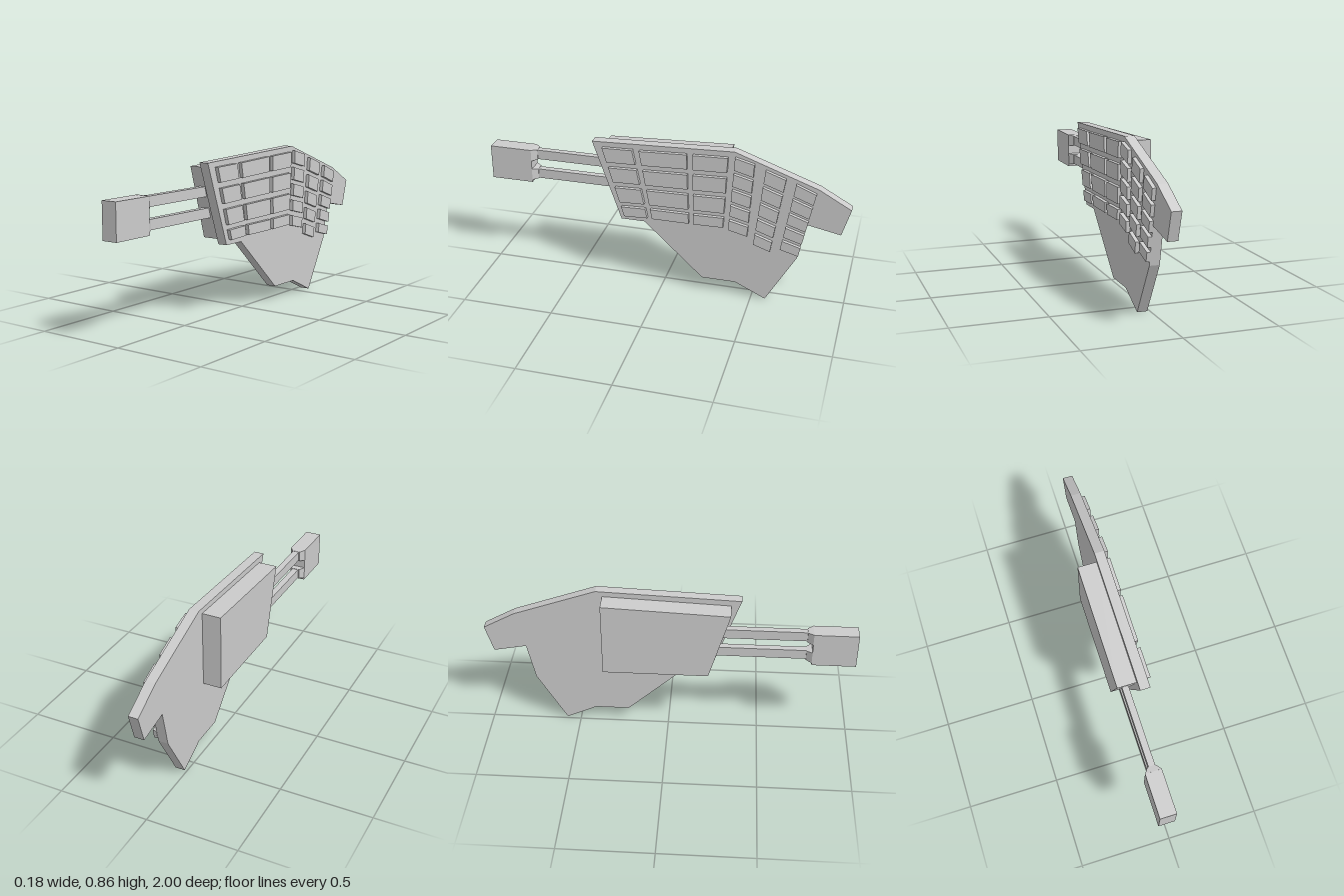
import * as THREE from 'three';

const material = new THREE.MeshStandardMaterial({ color: 0xcccccc, flatShading: true });

function addMesh(parent, name, geometry) {
  const mesh = new THREE.Mesh(geometry, material);
  mesh.name = name;
  parent.add(mesh);
  return mesh;
}

// Extrude a side profile of [z, y] points from x0 to x1
function slab(points, x0, x1) {
  const shape = new THREE.Shape(points.map(([z, y]) => new THREE.Vector2(-z, y)));
  const geometry = new THREE.ExtrudeGeometry(shape, { depth: x1 - x0, bevelEnabled: false });
  return geometry.rotateY(Math.PI / 2).translate(x0, 0, 0);
}

function block(x0, x1, y0, y1, z0, z1) {
  return new THREE.BoxGeometry(x1 - x0, y1 - y0, z1 - z0)
    .translate((x0 + x1) / 2, (y0 + y1) / 2, (z0 + z1) / 2);
}

// Block whose back end shrinks to the size of the arm
function taper(width, height, depth, backWidth, backHeight) {
  const geometry = new THREE.BoxGeometry(width, height, depth);
  const p = geometry.attributes.position;
  for (let i = 0; i < p.count; i++) {
    if (p.getZ(i) < 0) {
      p.setX(i, Math.sign(p.getX(i)) * backWidth / 2);
      p.setY(i, Math.sign(p.getY(i)) * backHeight / 2);
    }
  }
  geometry.computeVertexNormals();
  return geometry;
}

export function createModel() {
  const model = new THREE.Group();
  model.name = 'panelledPlate';

  // Main angular plate
  addMesh(model, 'mainPlate', slab([
    [0.385, 0.83], [0.23, 0.385], [0.10, 0.385], [-0.225, 0.08], [-0.41, 0.08], [-0.578, 0],
    [-0.738, 0.283], [-0.78, 0.49], [-0.957, 0.455], [-1, 0.605], [-0.83, 0.70], [-0.385, 0.86],
  ], 0.013, 0.067));

  // Thick housing on the inner side
  addMesh(model, 'backHousing', slab([
    [0.33, 0.80], [0.22, 0.41], [-0.35, 0.41], [-0.35, 0.83],
  ], -0.09, 0.013));

  // Raised tiles: each column is a quad (top front, top back, bottom front, bottom back)
  const longRows = [[0, 0.205], [0.285, 0.495], [0.575, 0.79], [0.86, 1]];
  const shortRows = [[0, 0.165], [0.22, 0.385], [0.44, 0.595], [0.655, 0.80], [0.865, 1]];
  const columns = [
    { rows: longRows, quad: [[0.326, 0.805], [0.16, 0.81], [0.209, 0.412], [0.08, 0.417]] },
    { rows: longRows, quad: [[0.123, 0.81], [-0.134, 0.822], [0.053, 0.417], [-0.15, 0.417]] },
    { rows: longRows, quad: [[-0.166, 0.822], [-0.353, 0.829], [-0.176, 0.417], [-0.337, 0.42]] },
    { rows: shortRows, quad: [[-0.39, 0.834], [-0.492, 0.807], [-0.366, 0.41], [-0.468, 0.385]] },
    { rows: shortRows, quad: [[-0.551, 0.781], [-0.658, 0.743], [-0.503, 0.342], [-0.594, 0.31]] },
    { rows: shortRows, quad: [[-0.711, 0.722], [-0.818, 0.679], [-0.647, 0.332], [-0.745, 0.305]] },
  ];
  const tiles = new THREE.Group();
  tiles.name = 'raisedTiles';
  model.add(tiles);
  const mix = (a, b, t) => [a[0] + (b[0] - a[0]) * t, a[1] + (b[1] - a[1]) * t];
  for (const { rows, quad: [tf, tb, bf, bb] } of columns) {
    for (const [v0, v1] of rows) {
      const corners = [mix(tf, bf, v0), mix(tf, bf, v1), mix(tb, bb, v1), mix(tb, bb, v0)];
      addMesh(tiles, 'tile', slab(corners, 0.067, 0.087));
    }
  }

  // Twin arms reaching forward, each flaring into the end block
  for (const y of [0.668, 0.553]) {
    addMesh(model, 'arm', block(-0.055, -0.02, y - 0.027, y + 0.027, 0.2, 0.745));
    addMesh(model, 'armFlare', taper(0.088, 0.066, 0.03, 0.045, 0.058))
      .position.set(-0.039, y, 0.75);
  }
  addMesh(model, 'upperEndBlock', block(-0.083, 0.005, 0.58, 0.70, 0.765, 1));
  addMesh(model, 'lowerEndBlock', block(-0.083, 0.005, 0.507, 0.58, 0.765, 1));

  return model;
}
